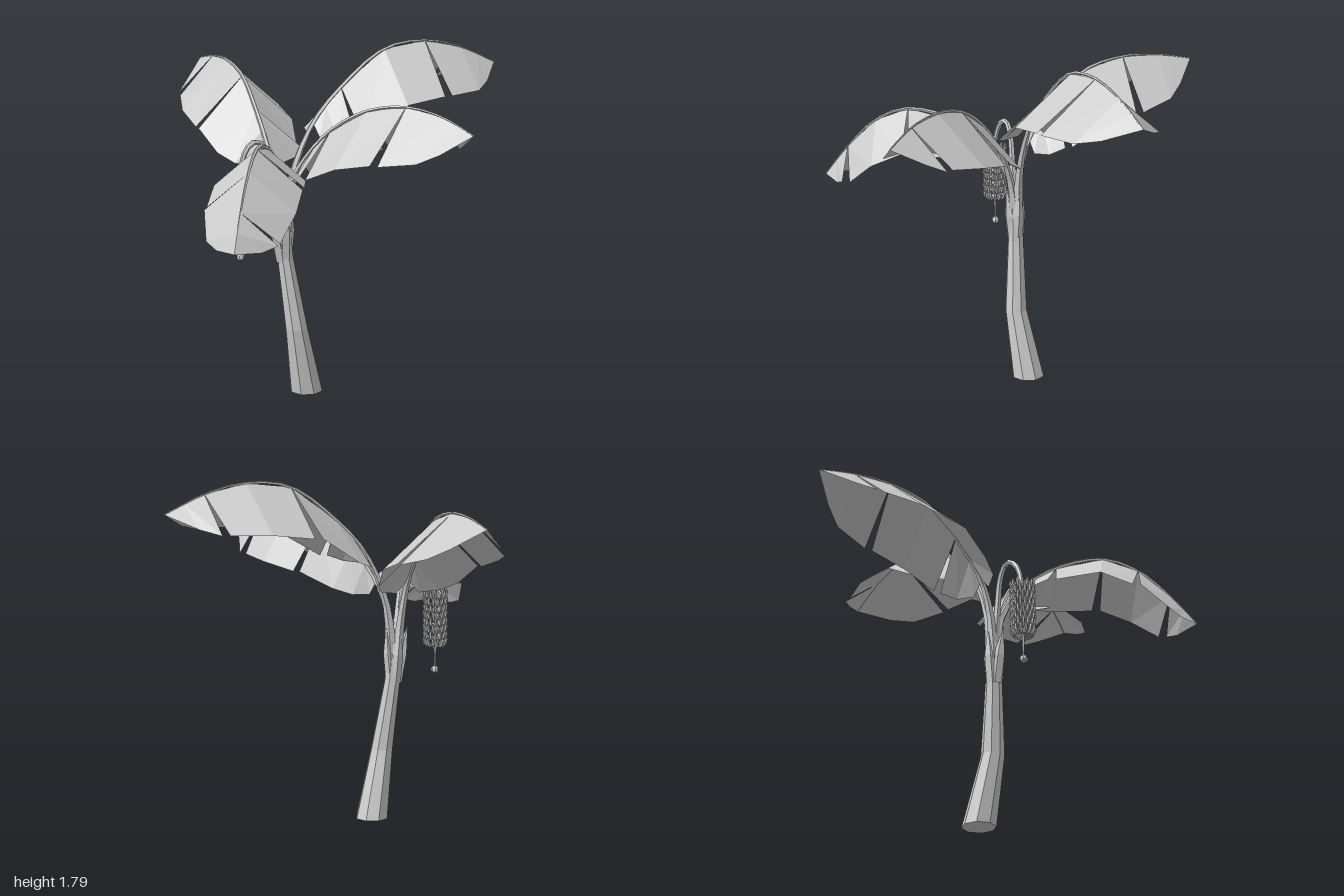
import * as THREE from 'three';
import { mergeGeometries } from 'three/addons/utils/BufferGeometryUtils.js';

const grey = new THREE.MeshStandardMaterial({ color: 0xcccccc, flatShading: true });
const thin = new THREE.MeshStandardMaterial({ color: 0xcccccc, flatShading: true, side: THREE.DoubleSide });

const curveOf = (pts) => new THREE.CatmullRomCurve3(pts.map((p) => new THREE.Vector3(...p)));

function mesh(name, geometry, material = grey) {
  const m = new THREE.Mesh(geometry, material);
  m.name = name;
  return m;
}

// Linear lookup in a list of [position, value] pairs
function lookup(table, t) {
  let i = 1;
  while (i < table.length - 1 && table[i][0] < t) i++;
  const [a, va] = table[i - 1];
  const [b, vb] = table[i];
  return va + ((vb - va) * (t - a)) / (b - a);
}

// Tube whose radius follows a table along its length
function taperedTube(curve, segments, sides, radii) {
  const g = new THREE.TubeGeometry(curve, segments, 1, sides);
  const pos = g.attributes.position;
  const v = new THREE.Vector3();
  for (let i = 0; i <= segments; i++) {
    const c = curve.getPointAt(i / segments);
    const r = lookup(radii, i / segments);
    for (let j = 0; j <= sides; j++) {
      const k = i * (sides + 1) + j;
      v.fromBufferAttribute(pos, k).sub(c).multiplyScalar(r).add(c);
      pos.setXYZ(k, v.x, v.y, v.z);
    }
  }
  g.computeVertexNormals();
  return g;
}

// Trunk: horizontal rings of [x, y, z, radius]
function trunk() {
  const rings = [
    [-0.172, 0, 0.055, 0.087], [-0.245, 0.36, 0.088, 0.06],
    [-0.293, 0.73, 0.062, 0.043], [-0.308, 0.93, 0.058, 0.04],
  ];
  const g = new THREE.CylinderGeometry(1, 1, rings.length - 1, 8, rings.length - 1);
  const pos = g.attributes.position;
  for (let i = 0; i < pos.count; i++) {
    const [x, y, z, r] = rings[Math.round(pos.getY(i) + (rings.length - 1) / 2)];
    pos.setXYZ(i, x + pos.getX(i) * r, y, z + pos.getZ(i) * r);
  }
  return mesh('trunk', g);
}

// Pointed sheath tips that fan out of the trunk top
function sheaths() {
  const group = new THREE.Group();
  group.name = 'sheaths';
  for (const [x, y, z] of [[-0.38, 1.01, 0.06], [-0.255, 1.03, 0.055], [-0.31, 1.02, 0.105], [-0.315, 1.02, 0.012]]) {
    const bx = -0.3 + (x + 0.31) * 0.25;
    const bz = 0.06 + (z - 0.06) * 0.3;
    const c = curveOf([[bx, 0.72, bz], [(bx + x) / 2, 0.88, (bz + z) / 2], [x, y, z]]);
    group.add(mesh('sheathTip', taperedTube(c, 4, 5, [[0, 0.03], [0.5, 0.03], [1, 0.002]])));
  }
  return group;
}

// Leaf: two petiole points, then six midrib stations; each half droops and is
// notched at alternate stations
const STATIONS = [0, 0.5, 1, 2, 3, 4, 4.5, 5];
const WIDTHS = [0.25, 0.62, 0.84, 1, 1, 0.79, 0.49, 0];

function leaf(name, pts, width, droop) {
  const group = new THREE.Group();
  group.name = name;
  const curve = curveOf(pts);
  const mid = (t) => curve.getPoint((t + 2) / (pts.length - 1));
  const along = mid(5).sub(mid(0)).setY(0).normalize();
  const right = along.clone().cross(new THREE.Vector3(0, 1, 0));

  const verts = [];
  for (const s of [1, -1]) {
    const cuts = s > 0 ? [1, 3] : [2, 4];
    const edge = (i, after) => {
      const t = STATIONS[i];
      const w = WIDTHS[i] * width;
      let shift = i > 0 && i < 7 ? -0.03 : 0;
      if (cuts.includes(t)) shift += after ? 0.018 : -0.022;
      const p = mid(t).addScaledVector(right, s * w).addScaledVector(along, shift);
      p.y -= w * droop;
      return p;
    };
    for (let i = 0; i < STATIONS.length - 1; i++) {
      const m0 = mid(STATIONS[i]);
      const m1 = mid(STATIONS[i + 1]);
      const e0 = edge(i, true);
      const e1 = edge(i + 1, false);
      const tris = s > 0 ? [m0, e0, m1, m1, e0, e1] : [m0, m1, e0, m1, e1, e0];
      for (const p of tris) verts.push(p.x, p.y, p.z);
    }
  }
  const blade = new THREE.BufferGeometry();
  blade.setAttribute('position', new THREE.Float32BufferAttribute(verts, 3));
  blade.computeVertexNormals();
  group.add(mesh('blade', blade, thin));
  const radii = [[0, 0.034], [0.12, 0.022], [0.3, 0.013], [0.6, 0.009], [1, 0.003]];
  group.add(mesh('midrib', taperedTube(curve, 20, 5, radii)));
  return group;
}

// Hanging bunch: rings of upturned fruit around a stalk that ends in a bud
function fruitBunch() {
  const group = new THREE.Group();
  group.name = 'fruitBunch';
  const cx = -0.54;
  const cz = 0.055;
  const stalk = curveOf([
    [-0.31, 0.88, 0.055], [-0.345, 1.13, 0.05], [-0.385, 1.29, 0.042], [-0.435, 1.345, 0.04],
    [-0.495, 1.315, 0.047], [-0.53, 1.22, cz], [cx, 1.05, cz], [cx, 0.78, cz],
  ]);
  group.add(mesh('stalk', taperedTube(stalk, 28, 6, [[0, 0.022], [0.4, 0.015], [0.7, 0.012], [1, 0.005]])));

  const fruitCurve = curveOf([[0.008, 0, 0], [0.04, -0.012, 0], [0.058, 0.008, 0], [0.06, 0.038, 0]]);
  const fruit = taperedTube(fruitCurve, 5, 5, [[0, 0.004], [0.35, 0.009], [0.75, 0.009], [1, 0.002]]);
  const rows = 8;
  const perRow = 14;
  const all = [];
  for (let r = 0; r < rows; r++) {
    for (let k = 0; k < perRow; k++) {
      const g = fruit.clone();
      g.rotateY(((k + (r % 2) / 2) / perRow) * Math.PI * 2);
      g.translate(cx, 0.91 + r * 0.036, cz);
      all.push(g);
    }
  }
  group.add(mesh('fruit', mergeGeometries(all)));

  const bud = new THREE.SphereGeometry(0.021, 7, 5);
  bud.translate(cx, 0.77, cz);
  group.add(mesh('bud', bud));
  return group;
}

export function createModel() {
  const model = new THREE.Group();
  model.name = 'bananaPlant';
  model.add(trunk(), sheaths(), fruitBunch());
  model.add(
    leaf('leftLeaf', [
      [-0.29, 0.85, 0.055], [-0.25, 1.15, 0.055], [-0.13, 1.41, 0.055], [0.03, 1.58, 0.055],
      [0.28, 1.755, 0.055], [0.52, 1.78, 0.055], [0.74, 1.73, 0.055], [0.95, 1.635, 0.055],
    ], 0.29, 0.83),
    leaf('backLeaf', [
      [-0.31, 0.85, 0.05], [-0.325, 1.08, 0.02], [-0.33, 1.26, -0.04], [-0.325, 1.46, -0.2],
      [-0.315, 1.6, -0.37], [-0.3, 1.65, -0.59], [-0.285, 1.64, -0.8], [-0.27, 1.6, -1],
    ], 0.265, 0.92),
    leaf('frontRightLeaf', [
      [-0.31, 0.85, 0.06], [-0.335, 1.08, 0.08], [-0.4, 1.25, 0.17], [-0.51, 1.37, 0.31],
      [-0.66, 1.42, 0.5], [-0.77, 1.35, 0.64], [-0.87, 1.2, 0.76], [-0.95, 1.04, 0.86],
    ], 0.215, 0.88),
    leaf('frontLeftLeaf', [
      [-0.3, 0.85, 0.06], [-0.285, 1.08, 0.1], [-0.25, 1.24, 0.17], [-0.17, 1.42, 0.31],
      [-0.06, 1.54, 0.48], [0.05, 1.58, 0.66], [0.14, 1.555, 0.84], [0.22, 1.485, 0.99],
    ], 0.25, 0.98),
  );
  return model;
}
